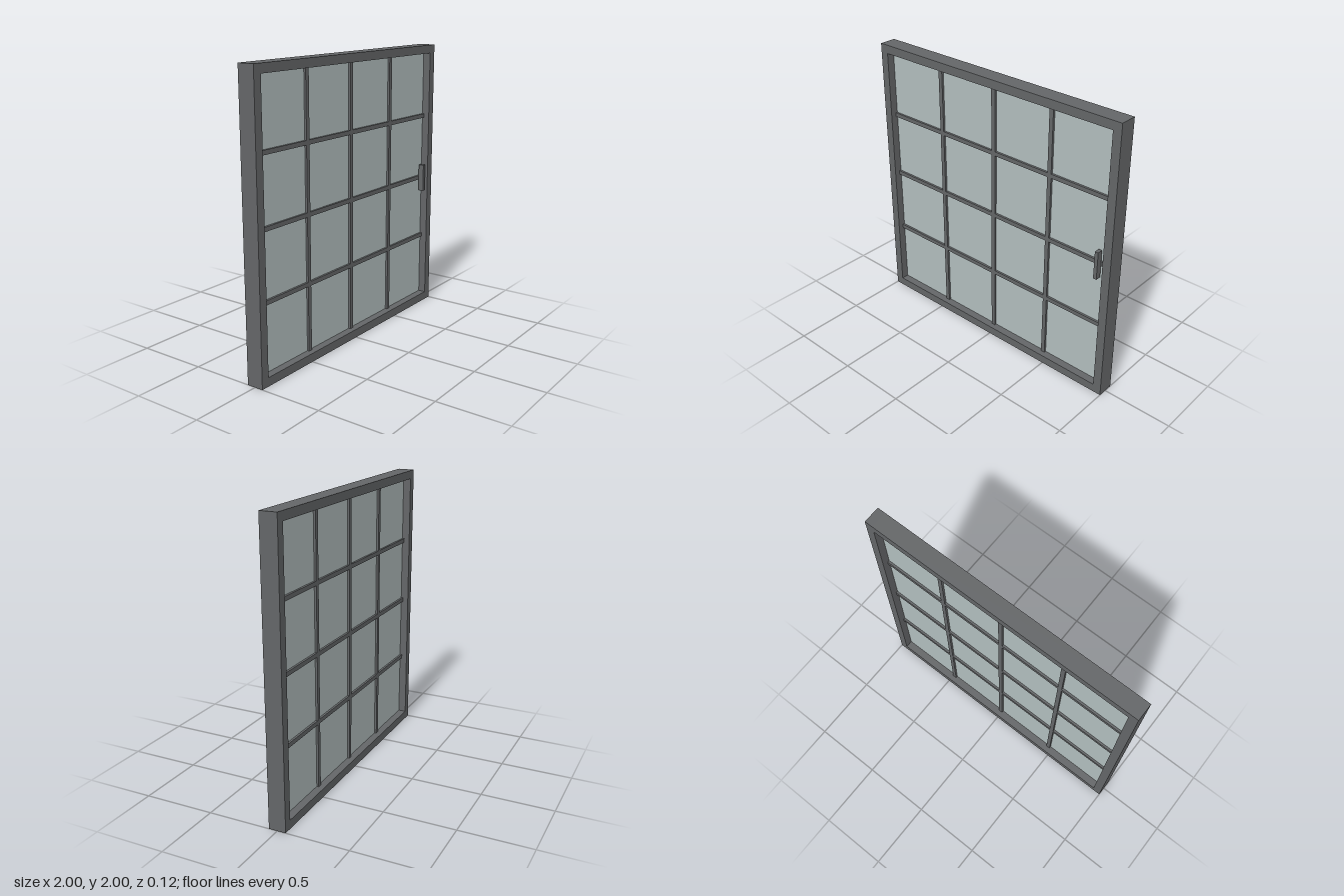
import * as THREE from 'three';

export function createModel() {
  const model = new THREE.Group();
  model.name = 'slidingWindowPanel';

  const frameGrey = new THREE.MeshStandardMaterial({ color: 0x646668 });
  frameGrey.name = 'frame grey';
  const glassTint = new THREE.MeshStandardMaterial({ color: 0xb2bebe });
  glassTint.name = 'glass tint';

  const addBox = (name, material, [w, h, d], [x, y, z]) => {
    const mesh = new THREE.Mesh(new THREE.BoxGeometry(w, h, d), material);
    mesh.name = name;
    mesh.position.set(x, y, z);
    model.add(mesh);
  };

  const size = 2, border = 0.06, depth = 0.12;
  const opening = size - 2 * border;
  const barWidth = 0.03, barDepth = 0.04;

  // Outer frame: full-height stiles with rails between them
  for (const side of [-1, 1]) {
    const offset = side * (size - border) / 2;
    addBox(side > 0 ? 'leftStile' : 'rightStile', frameGrey, [border, size, depth], [offset, 1, 0]);
    addBox(side > 0 ? 'topRail' : 'bottomRail', frameGrey, [opening, border, depth], [0, 1 + offset, 0]);
  }

  // Glass pane in the middle of the frame
  addBox('glassPane', glassTint, [opening, opening, 0.01], [0, 1, 0]);

  // Glazing bars dividing the pane into four by four
  for (let i = -1; i <= 1; i++) {
    const offset = i * opening / 4;
    addBox('verticalBar', frameGrey, [barWidth, opening, barDepth], [offset, 1, 0]);
    addBox('horizontalBar', frameGrey, [opening, barWidth, barDepth], [0, 1 + offset, 0]);
  }

  // Pull handle on the front, beside the left stile
  addBox('handle', frameGrey, [0.025, 0.2, 0.04], [0.89, 1, 0.04]);

  return model;
}
